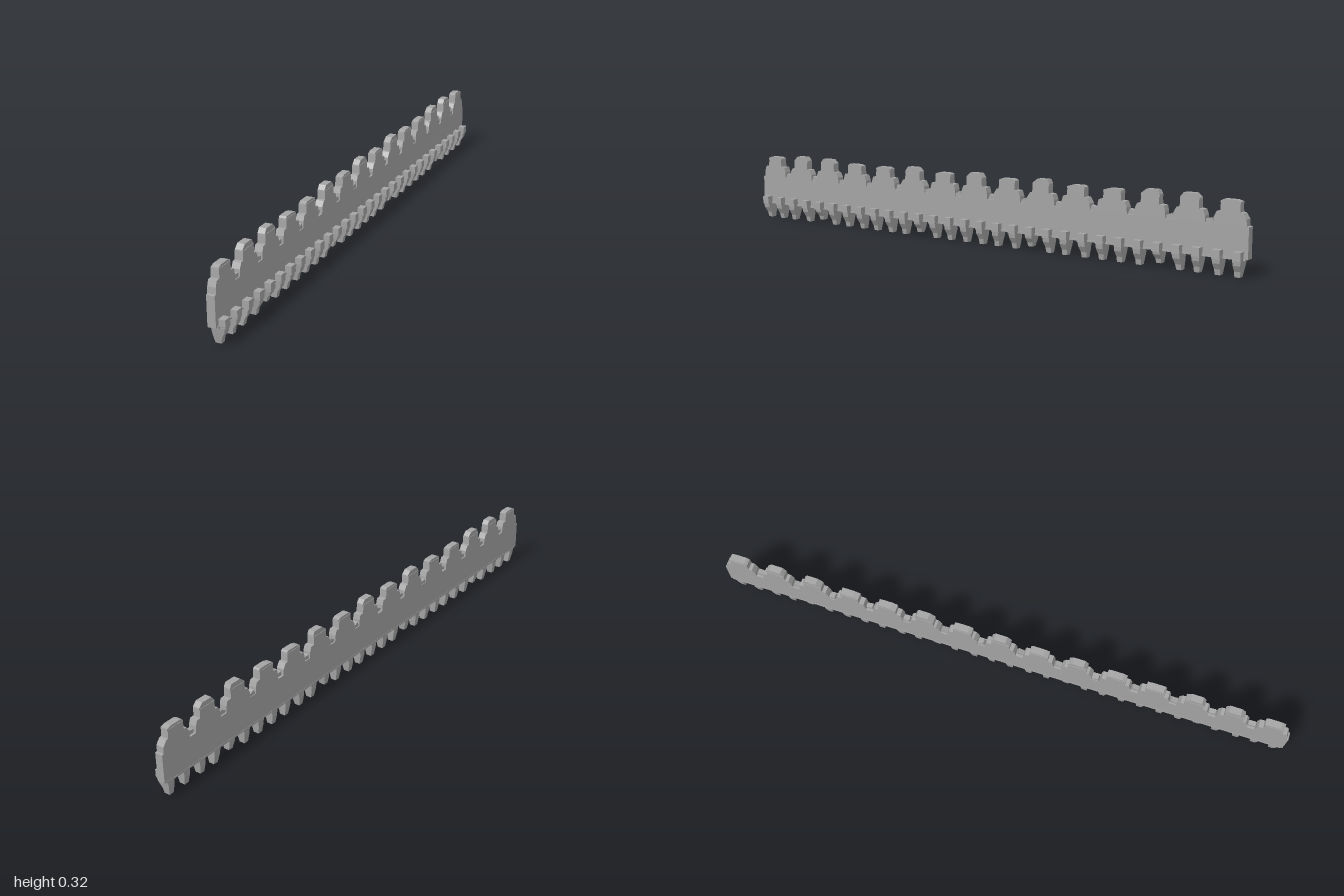
import * as THREE from 'three';

const PITCH = 0.178, HALF = 1.327, THICK = 0.036, MERLONS = 15;

// Small seeded generator for the weathered irregularity
function seeded(seed) {
  return () => (seed = (seed * 16807) % 2147483647) / 2147483647;
}

// Extrude a profile and centre it on its thickness
function slab(points, depth) {
  const shape = new THREE.Shape(points.map(([x, y]) => new THREE.Vector2(x, y)));
  const geo = new THREE.ExtrudeGeometry(shape, { depth, bevelEnabled: false });
  return geo.translate(0, 0, -depth / 2);
}

export function createModel() {
  const model = new THREE.Group();
  const stone = new THREE.MeshStandardMaterial({ color: 0xa4a4a4 });
  stone.name = 'grey stone';
  stone.flatShading = true;
  const rand = seeded(4711);
  const jitter = (a) => (rand() - 0.5) * 2 * a;

  const wall = new THREE.Group();
  wall.name = 'battlementWall';
  wall.rotation.y = 0.834;
  model.add(wall);
  const add = (name, geo, x = 0, y = 0, z = 0) => {
    const mesh = new THREE.Mesh(geo, stone);
    mesh.name = name;
    mesh.position.set(x, y, z);
    wall.add(mesh);
    return mesh;
  };

  // Parapet with stepped merlons in one outline
  const outline = [[-HALF, 0.075], [HALF, 0.075], [HALF, 0.205]];
  for (let i = MERLONS - 1; i >= 0; i--) {
    const c = (i - (MERLONS - 1) / 2) * PITCH;
    const s = jitter(0.006), t = jitter(0.006);
    outline.push(
      [c + 0.072, 0.207], [c + 0.07, 0.235], [c + 0.06 + s, 0.258], [c + 0.043, 0.26],
      [c + 0.041, 0.298], [c - 0.041, 0.298],
      [c - 0.043, 0.26], [c - 0.06 + t, 0.258], [c - 0.07, 0.235], [c - 0.072, 0.207]);
  }
  outline.push([-HALF, 0.205]);
  add('parapet', slab(outline, THICK));

  // Cap stones, some tilted and worn
  for (let i = 0; i < MERLONS; i++) {
    const c = (i - (MERLONS - 1) / 2) * PITCH;
    const raised = i % 5 === 2 || i % 4 === 1 ? 0.016 : 0.004;
    const lean = jitter(0.012);
    add('capStone', slab([[-0.044, -0.006], [0.044, -0.006], [0.043, 0.004],
      [0.026 + lean, 0.006 + raised], [-0.026 + lean, 0.006 + raised], [-0.043, 0.003]],
    THICK - 0.004), c, 0.298);
    // Loose rubble in the gap beside each merlon
    if (i < MERLONS - 1) {
      const rubble = add('rubble', new THREE.BoxGeometry(0.03, 0.026, 0.022),
        c + PITCH / 2, 0.212, jitter(0.005));
      rubble.rotation.z = jitter(0.5);
    }
  }

  // Ledge under the parapet
  add('ledge', new THREE.BoxGeometry(2 * HALF - 0.02, 0.008, THICK + 0.006), 0, 0.074, 0.002);

  // Corbels: a projecting block above a tapering bracket
  const side = [[-0.016, 0.08], [0.044, 0.08], [0.04, 0.05], [0.024, 0.024], [0.02, 0], [-0.006, 0], [-0.014, 0.04]];
  for (let i = 0; i < 30; i++) {
    const x = (i - 14.5) * PITCH / 2;
    add('corbelBlock', new THREE.BoxGeometry(0.036, 0.036, 0.048), x, 0.088, 0.023);
    const geo = slab(side, 0.038);
    geo.rotateY(-Math.PI / 2);
    // Narrow towards the foot, with a slight sideways lean
    const lean = jitter(0.007);
    const worn = i % 7 === 4 ? 0.018 : 0;
    const p = geo.attributes.position;
    for (let k = 0; k < p.count; k++) {
      const down = 1 - p.getY(k) / 0.08;
      p.setX(k, p.getX(k) * (1 - 0.4 * down) + lean * down);
      p.setY(k, p.getY(k) + worn * down);
    }
    geo.computeVertexNormals();
    add('corbelBracket', geo, x);
  }
  return model;
}
